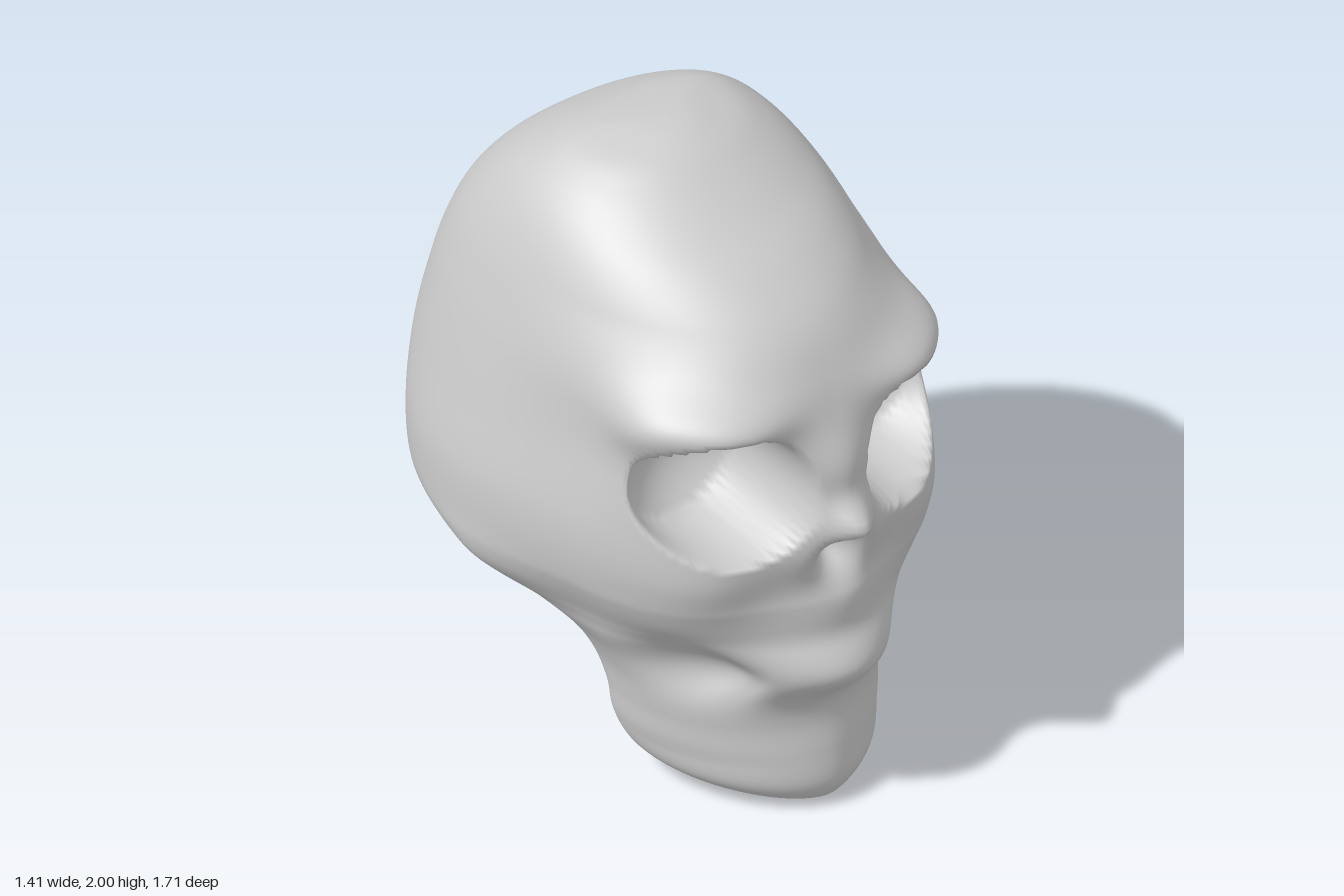
import * as THREE from 'three';

const { lerp, clamp, smoothstep } = THREE.MathUtils;

// Horizontal sections: [height, front z, back z, half width]
const SECTIONS = [
  [0, 0.57, 0.57, 0], [0.015, 0.65, 0.4, 0.13], [0.04, 0.68, 0.27, 0.26], [0.1, 0.7, 0.16, 0.36],
  [0.2, 0.69, 0.08, 0.4], [0.3, 0.67, 0.05, 0.41], [0.4, 0.66, -0.02, 0.43], [0.5, 0.67, -0.08, 0.48],
  [0.58, 0.67, -0.15, 0.56], [0.64, 0.66, -0.29, 0.63], [0.7, 0.66, -0.45, 0.68], [0.76, 0.66, -0.65, 0.7],
  [0.83, 0.66, -0.8, 0.702], [1.0, 0.69, -0.84, 0.695], [1.2, 0.71, -0.855, 0.65], [1.4, 0.69, -0.82, 0.6],
  [1.52, 0.65, -0.785, 0.565], [1.64, 0.57, -0.725, 0.525], [1.75, 0.43, -0.635, 0.475], [1.84, 0.27, -0.53, 0.415],
  [1.91, 0.15, -0.42, 0.34], [1.96, 0.06, -0.32, 0.25], [1.992, -0.03, -0.19, 0.11], [2.0, -0.11, -0.11, 0],
];
const STEPS = 10;
const COLUMNS = 300;

// Smooth curve through the section values
function sectionAt(t) {
  const last = SECTIONS.length - 1;
  const i = Math.min(Math.floor(t), last - 1);
  const f = t - i;
  const row = (k) => SECTIONS[clamp(k, 0, last)];
  return SECTIONS[0].map((_, c) => {
    const [a, b, d, e] = [row(i - 1)[c], row(i)[c], row(i + 1)[c], row(i + 2)[c]];
    return b + 0.5 * f * (d - a + f * (2 * a - 5 * b + 4 * d - e + f * (3 * (b - d) + e - a)));
  });
}

const bump = (u, su, v, sv) => Math.exp(-((u / su) ** 2) - (v / sv) ** 2);

// Face relief: [amount, x, y, spread x, spread y]
const RELIEF = [
  [0.12, 0, 0.52, 0.24, 0.11],    // upper jaw
  [0.08, 0, 0.74, 0.2, 0.15],     // upper jaw to nose
  [0.08, 0, 0.95, 0.18, 0.1],     // nose surround
  [0.12, 0, 1.05, 0.085, 0.075],  // nose tip
  [0.06, 0, 1.22, 0.11, 0.15],    // nose bridge
  [-0.14, 0, 0.92, 0.07, 0.085],  // nose cavity
  [0.07, 0.38, 1.42, 0.2, 0.075], // brow ridges
  [0.04, 0.42, 0.86, 0.17, 0.13], // cheekbones
];

function sculpt(x, y, z) {
  const side = Math.sign(x);
  let ax = Math.abs(x);

  // Hollow between the sides of the jaw, at the back
  const jaw = smoothstep(y, 0.04, 0.22) * (1 - smoothstep(y, 0.38, 0.66));
  const rear = 1 - smoothstep(z, 0.1, 0.3);
  const hollow = 0.17 * jaw * rear * bump(ax, 0.19, 0, 1);

  // Head narrows from the ears to the face, most where cheek meets jaw
  const narrowing = smoothstep(y, 0.5, 0.65) * (1 - smoothstep(y, 1.2, 1.6));
  ax *= 1 - (0.06 * narrowing + 0.07 * bump(y - 0.68, 0.11, 0, 1)) * smoothstep(z, -0.2, 0.25);

  // Gap below the cheekbone, and brow ends standing out at the sides
  const gap = 0.13 * bump(y - 0.51, 0.1, z - 0.48, 0.13);
  const browEnd = 0.05 * bump(y - 1.4, 0.1, z - 0.46, 0.14);
  ax = Math.max(0, ax + (browEnd - gap) * smoothstep(ax, 0.12, 0.3));

  if (z > 0) {
    const front = smoothstep(z, 0.15, 0.5);
    for (const [amount, cx, cy, sx, sy] of RELIEF) {
      z += amount * front * bump(ax - cx, sx, y - cy, sy);
    }
    // Eye socket bowl
    const d = Math.hypot((ax - 0.322) / 0.215, (y - 1.175) / 0.207);
    const inside = 1 - smoothstep(d, 0.9, 1.1);
    z = lerp(z, Math.min(z, 0.28 + 0.12 * d * d), inside);
  }
  return [side * ax, y, z + hollow];
}

function skullGeometry() {
  const positions = [];
  const index = [];
  const rows = (SECTIONS.length - 1) * STEPS;
  for (let r = 0; r <= rows; r++) {
    const [y, front, back, width] = sectionAt(r / STEPS);
    const middle = clamp(lerp(0.22, -0.2, smoothstep(y, 0.35, 0.85)),
      lerp(back, front, 0.2), lerp(back, front, 0.8));
    // Pointed chin, fuller face, rounder forehead; square jaw corners behind
    const faceSquare = 1.8 + 0.9 * smoothstep(y, 0.2, 0.8) - 0.65 * smoothstep(y, 1.4, 1.65);
    const backSquare = lerp(4, 2.35, smoothstep(y, 0.3, 0.75));
    for (let c = 0; c < COLUMNS; c++) {
      const angle = (c / COLUMNS) * Math.PI * 2;
      const s = Math.sin(angle);
      const k = Math.cos(angle);
      const n = k > 0 ? faceSquare : backSquare;
      const radius = (Math.abs(s) ** n + Math.abs(k) ** n) ** (-1 / n);
      const depth = k > 0 ? front - middle : middle - back;
      positions.push(...sculpt(width * radius * s, y, middle + depth * radius * k));
      if (r < rows) {
        // Diagonals mirrored left to right
        const a = r * COLUMNS + c;
        const b = r * COLUMNS + ((c + 1) % COLUMNS);
        const [d, e] = [b + COLUMNS, a + COLUMNS];
        if (c < COLUMNS / 2) index.push(a, b, d, a, d, e);
        else index.push(a, b, e, b, d, e);
      }
    }
  }
  const geometry = new THREE.BufferGeometry();
  geometry.setAttribute('position', new THREE.Float32BufferAttribute(positions, 3));
  geometry.setIndex(index);
  geometry.computeVertexNormals();
  return geometry;
}

export function createModel() {
  const group = new THREE.Group();
  group.name = 'skullModel';
  const skull = new THREE.Mesh(skullGeometry(), new THREE.MeshStandardMaterial({ color: 0xcccccc }));
  skull.name = 'skull';
  group.add(skull);
  return group;
}
